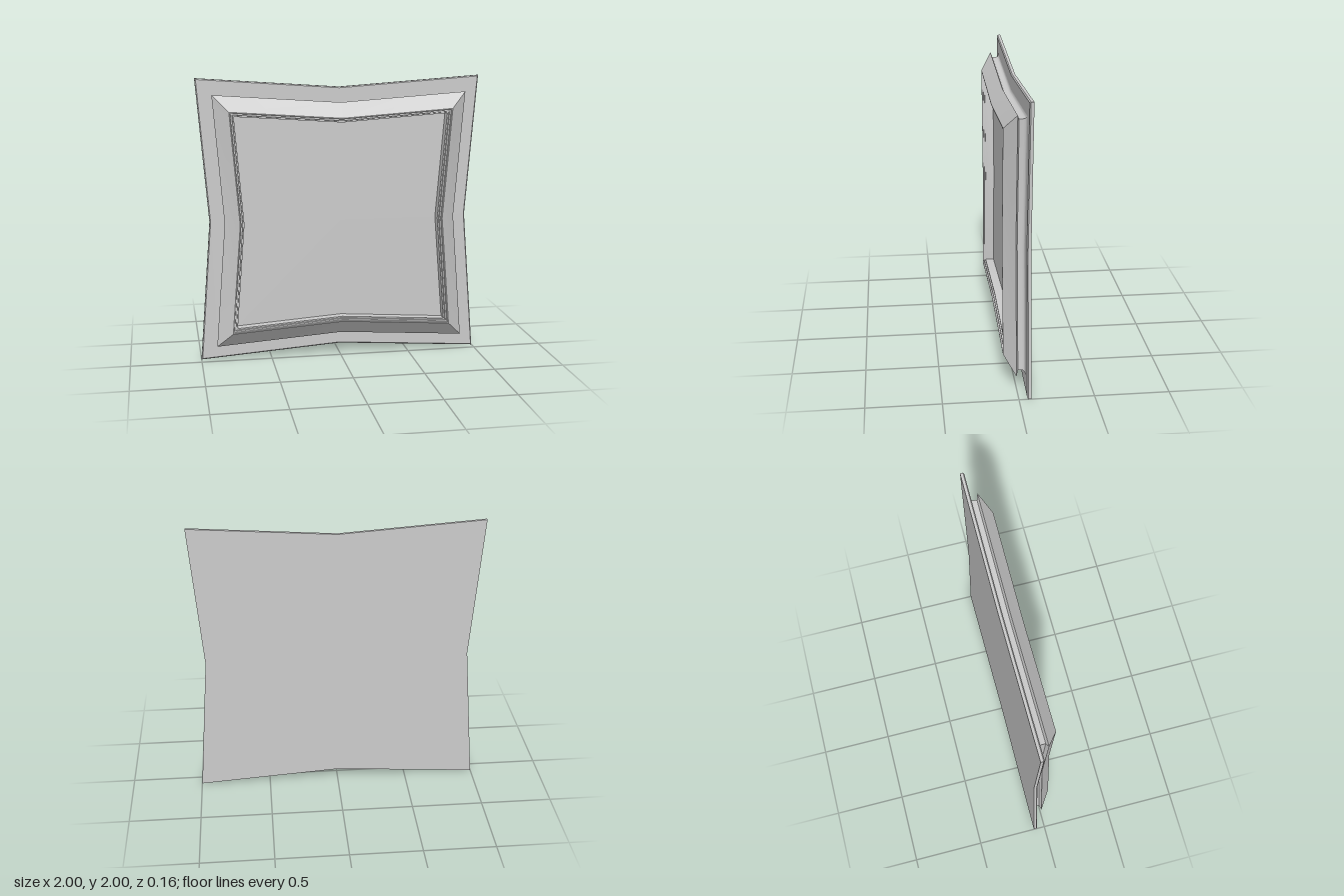
import * as THREE from 'three';
import { toCreasedNormals } from 'three/addons/utils/BufferGeometryUtils.js';

// Outline with pinched sides, counter-clockwise seen from the front
const OUTLINE = [[0.92, 0], [1, 1], [0, 0.93], [-1, 1], [-0.92, 0], [-1, -1], [0, -0.93], [1, -1]];

// Sweeps a profile of [scale, z] points round the outline, from back to front
function sweepProfile(profile) {
  const positions = [];
  const corner = (k, [s, z]) => {
    const [x, y] = OUTLINE[k % OUTLINE.length];
    return [x * s, y * s + 1, z];
  };
  for (let i = 0; i < profile.length - 1; i++) {
    const [p, q] = [profile[i], profile[i + 1]];
    for (let k = 0; k < OUTLINE.length; k++) {
      const a = corner(k, p), b = corner(k + 1, p), c = corner(k + 1, q), d = corner(k, q);
      if (p[0] > 0) positions.push(...a, ...b, ...c);
      if (q[0] > 0) positions.push(...a, ...c, ...d);
    }
  }
  const geometry = new THREE.BufferGeometry();
  geometry.setAttribute('position', new THREE.Float32BufferAttribute(positions, 3));
  return toCreasedNormals(geometry, THREE.MathUtils.degToRad(28));
}

export function createModel() {
  const group = new THREE.Group();
  const material = new THREE.MeshStandardMaterial({ color: 0xcccccc });
  const add = (name, profile) => {
    const mesh = new THREE.Mesh(sweepProfile(profile), material);
    mesh.name = name;
    group.add(mesh);
  };

  // Hollow curve between the plate and the neck
  const cove = [];
  for (let i = 0; i <= 5; i++) {
    const t = (i / 5) * Math.PI / 2;
    cove.push([0.885 - 0.025 * Math.sin(t), -0.035 - 0.02 * Math.cos(t)]);
  }

  // Thin back plate with a softened front edge
  add('backPlate', [[0, -0.082], [1, -0.082], [1, -0.062], [0.992, -0.055], [0.885, -0.055]]);

  // Cove, narrow neck, and the undercut below the bevel
  add('neck', [...cove, [0.86, -0.008], [0.89, 0.004]]);

  // Sloping bevel
  add('bevel', [[0.89, 0.004], [0.78, 0.082]]);

  // Stepped lip and the inner wall
  add('steppedLip', [[0.78, 0.082], [0.773, 0.082], [0.77, 0.072], [0.759, 0.072],
    [0.756, 0.062], [0.746, 0.062], [0.745, 0]]);

  // Recessed panel
  add('panel', [[0.745, 0], [0, 0]]);

  return group;
}
